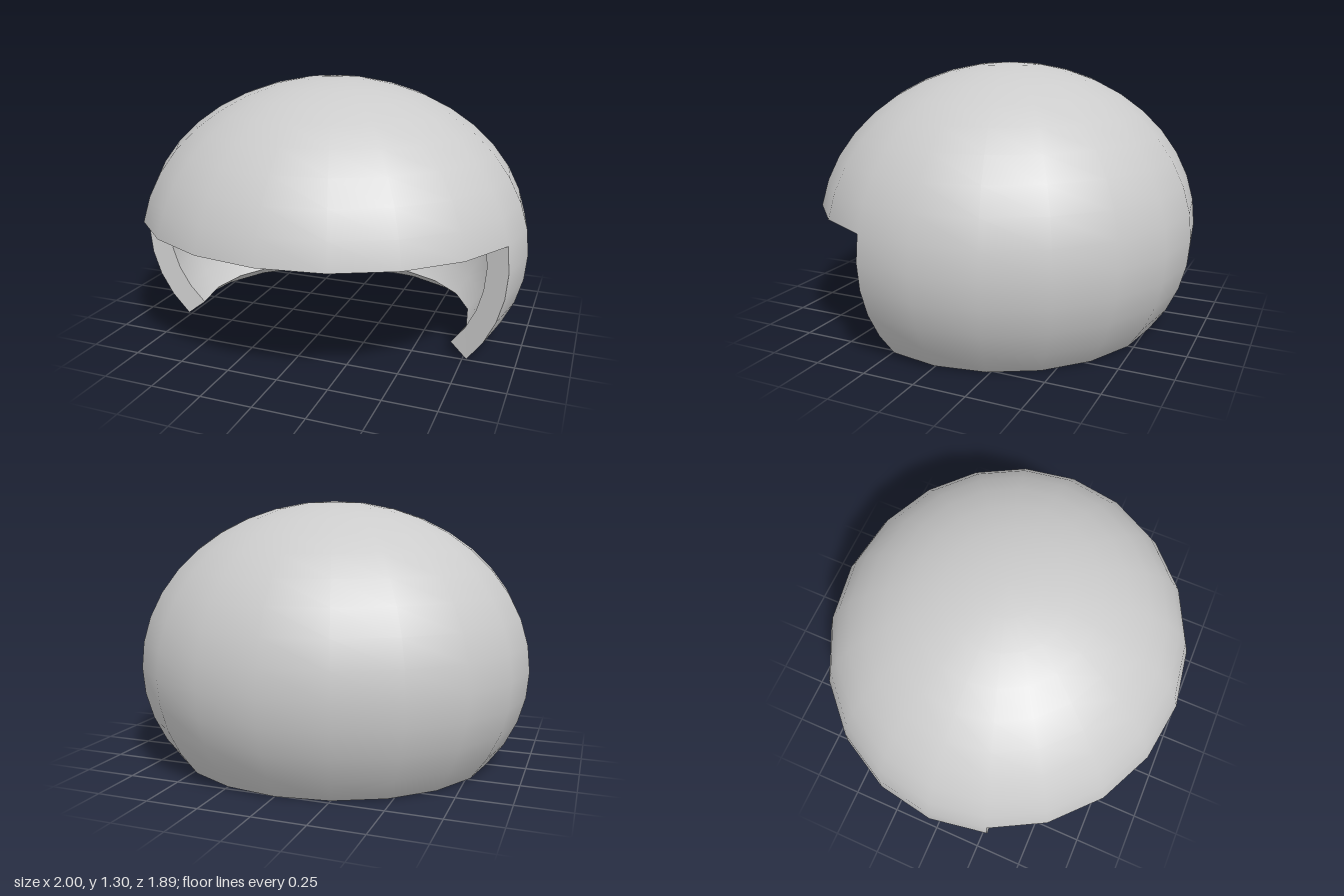
import * as THREE from 'three';

const SEG = 20;                 // segments around, and from pole to pole
const BROW = 9, HEM = 14;       // rows of the face opening's top and the bottom hem
const OPEN_FROM = 1, OPEN_TO = 9; // columns of the face opening
const CENTRE = [0, 0.482, 0.006];
const RADII = [1, 0.82, 0.949];
const THICKNESS = 0.11;

// Is this cell of the sphere grid part of the shell?
function kept(row, col) {
  if (row < 0) return true;
  const c = (col + SEG) % SEG;
  if (row >= HEM) return false;
  return !(row >= BROW && c >= OPEN_FROM && c < OPEN_TO);
}

// Smooth ellipsoid with only the kept cells
function shellSurface(inset) {
  const geo = new THREE.SphereGeometry(1, SEG, SEG);
  geo.scale(...RADII.map(r => r - inset));
  geo.translate(...CENTRE);
  const id = (r, c) => r * (SEG + 1) + c;
  const index = [];
  for (let r = 0; r < HEM; r++) {
    for (let c = 0; c < SEG; c++) {
      if (!kept(r, c)) continue;
      const p = id(r, c + 1), q = id(r, c), s = id(r + 1, c), t = id(r + 1, c + 1);
      const tris = r === 0 ? [[q, s, t]] : [[p, q, t], [q, s, t]];
      for (const tri of tris) index.push(...(inset ? tri.reverse() : tri));
    }
  }
  geo.setIndex(index);
  if (inset) {
    // inner side faces inwards; its brow edge is level with the outer one
    const pos = geo.attributes.position, n = geo.attributes.normal;
    for (let i = 0; i < n.count; i++) n.setXYZ(i, -n.getX(i), -n.getY(i), -n.getZ(i));
    const browY = CENTRE[1] + RADII[1] * Math.cos(BROW * Math.PI / SEG);
    for (let c = OPEN_FROM; c <= OPEN_TO; c++) pos.setY(id(BROW, c), browY);
  }
  return geo;
}

// Flat strips joining both surfaces along every open edge
function rimSurface(outer, inner) {
  const points = [];
  const at = (geo, [r, c]) =>
    new THREE.Vector3().fromBufferAttribute(geo.attributes.position, r * (SEG + 1) + c);
  for (let r = 0; r < HEM; r++) {
    for (let c = 0; c < SEG; c++) {
      if (!kept(r, c)) continue;
      const edges = [
        [[r, c + 1], [r, c], kept(r - 1, c)],
        [[r, c], [r + 1, c], kept(r, c - 1)],
        [[r + 1, c], [r + 1, c + 1], kept(r + 1, c)],
        [[r + 1, c + 1], [r, c + 1], kept(r, c + 1)],
      ];
      for (const [p, q, joined] of edges) {
        if (joined) continue;
        const op = at(outer, p), oq = at(outer, q), ip = at(inner, p), iq = at(inner, q);
        points.push(oq, op, ip, oq, ip, iq);
      }
    }
  }
  const geo = new THREE.BufferGeometry().setFromPoints(points);
  geo.computeVertexNormals();
  return geo;
}

export function createModel() {
  const helmet = new THREE.Group();
  helmet.name = 'helmet';
  const material = new THREE.MeshStandardMaterial({ color: 0xcccccc });
  const outer = shellSurface(0);
  const inner = shellSurface(THICKNESS);
  const parts = { outerShell: outer, innerShell: inner, rim: rimSurface(outer, inner) };
  for (const [name, geo] of Object.entries(parts)) {
    const mesh = new THREE.Mesh(geo, material);
    mesh.name = name;
    helmet.add(mesh);
  }
  return helmet;
}
